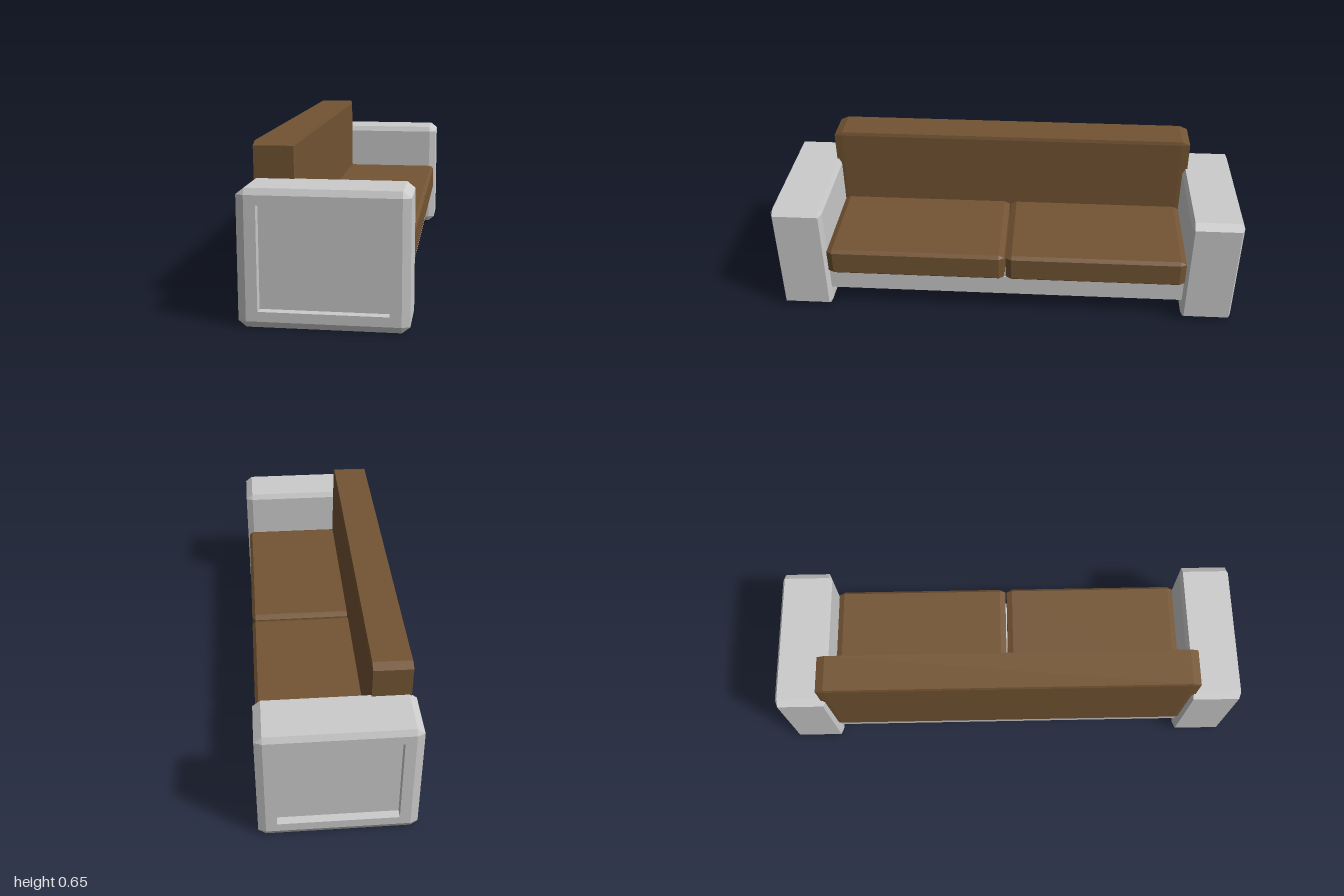
import * as THREE from 'three';

const grey = new THREE.MeshStandardMaterial({ color: 0xcccccc, flatShading: true });
const brown = new THREE.MeshStandardMaterial({ color: 0x735433, flatShading: true });

// Eight-point outline: a rectangle of half size hx, hy with corners cut by cx, cy
function outline([hx, hy, cx, cy, z]) {
  const x = hx - cx, y = hy - cy;
  return [[hx, -y], [hx, y], [x, hy], [-x, hy], [-hx, y], [-hx, -y], [-x, -hy], [x, -hy]]
    .map(([px, py]) => new THREE.Vector3(px, py, z));
}

// Skin a series of outlines and cap both ends
function loft(sections) {
  const loops = sections.map(outline);
  const pos = [];
  const tri = (a, b, c) => {
    const area = b.clone().sub(a).cross(c.clone().sub(a)).length();
    if (area > 1e-9) for (const p of [a, b, c]) pos.push(p.x, p.y, p.z);
  };
  for (let k = 0; k < loops.length - 1; k++) {
    const a = loops[k], b = loops[k + 1];
    for (let i = 0; i < 8; i++) {
      const j = (i + 1) % 8;
      tri(a[i], a[j], b[j]);
      tri(a[i], b[j], b[i]);
    }
  }
  const first = loops[0], last = loops[loops.length - 1];
  for (let i = 1; i < 7; i++) {
    tri(first[0], first[i + 1], first[i]);
    tri(last[0], last[i], last[i + 1]);
  }
  const geo = new THREE.BufferGeometry();
  geo.setAttribute('position', new THREE.Float32BufferAttribute(pos, 3));
  geo.computeVertexNormals();
  return geo;
}

// Sections of a box with all edges bevelled by bx, by, bz
function bevelSections(w, h, d, bx, by, bz) {
  const x = w / 2, y = h / 2, z = d / 2;
  return [
    [x - bx, y - by, 0, 0, -z],
    [x, y, bx, by, -z + bz],
    [x, y, bx, by, z - bz],
    [x - bx, y - by, 0, 0, z],
  ];
}

export function createModel() {
  const group = new THREE.Group();
  const add = (name, geo, mat, x, y, z) => {
    const mesh = new THREE.Mesh(geo, mat);
    mesh.name = name;
    mesh.position.set(x, y, z);
    group.add(mesh);
    return mesh;
  };

  // Armrests with a sunken panel in the outer face
  const armGeo = loft([
    ...bevelSections(0.62, 0.51, 0.22, 0.03, 0.024, 0.012),
    [0.237, 0.194, 0, 0, 0.11],
    [0.237, 0.194, 0, 0, 0.075],
  ]);
  add('leftEndArmrest', armGeo, grey, 0, 0.255, 0.89);
  add('rightEndArmrest', armGeo, grey, 0, 0.255, -0.89).rotation.y = Math.PI;

  // Base slab between the armrests
  add('base', new THREE.BoxGeometry(0.56, 0.092, 1.58), grey, 0, 0.136, 0);

  // Pair of seat cushions
  const cushionGeo = loft(bevelSections(0.57, 0.125, 0.778, 0.014, 0.013, 0.025));
  for (const s of [1, -1]) add('seatCushion', cushionGeo, brown, 0.018, 0.2435, s * 0.392);

  // Backrest, leaning very slightly
  const backGeo = loft(bevelSections(0.16, 0.51, 1.6, 0.004, 0.015, 0.035));
  add('backrest', backGeo, brown, -0.212, 0.392, 0).rotation.z = 0.01;

  return group;
}
